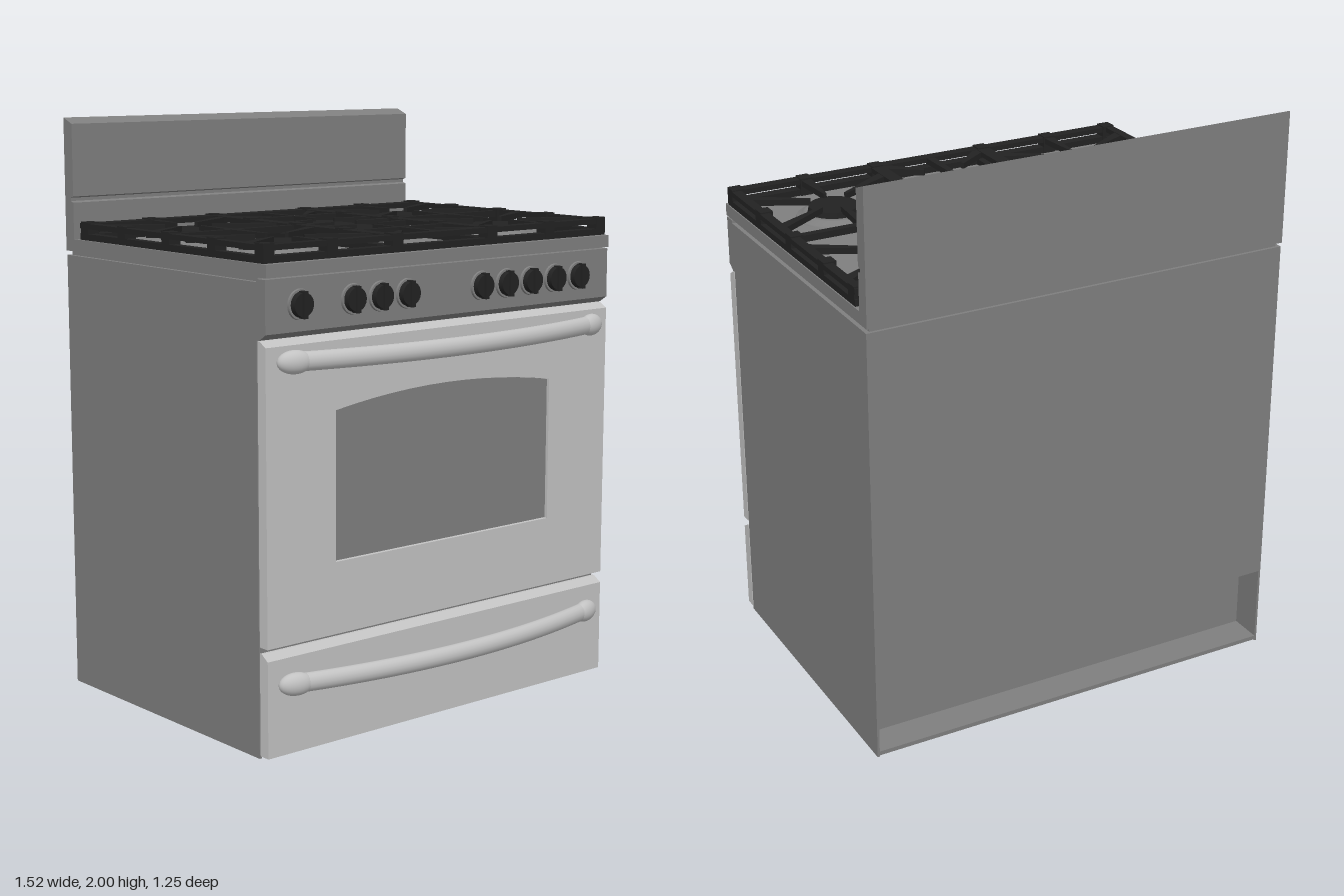
import * as THREE from 'three';

const mat = (name, color) => {
  const m = new THREE.MeshStandardMaterial({ color });
  m.name = name;
  return m;
};

export function createModel() {
  const steel = mat('brushed steel', 0xc2c2c2);
  const grey = mat('grey enamel', 0x7e7e7e);
  const black = mat('cast iron', 0x222222);
  const root = new THREE.Group();
  root.name = 'kitchenRange';

  const add = (name, geo, material, parent = root) => {
    const m = new THREE.Mesh(geo, material);
    m.name = name;
    parent.add(m);
    return m;
  };
  const group = (name) => {
    const g = new THREE.Group();
    g.name = name;
    root.add(g);
    return g;
  };
  // Box given by its limits on each axis
  const block = (name, x0, x1, y0, y1, z0, z1, material, parent) => {
    const geo = new THREE.BoxGeometry(x1 - x0, y1 - y0, z1 - z0);
    geo.translate((x0 + x1) / 2, (y0 + y1) / 2, (z0 + z1) / 2);
    return add(name, geo, material, parent);
  };
  const toShape = (pts) => new THREE.Shape(pts.map(([x, y]) => new THREE.Vector2(x, y)));
  // Side profile of [z, y] points swept across the width
  const sweep = (name, pts, material, w = 1.52) => {
    const geo = new THREE.ExtrudeGeometry(toShape(pts), { depth: w, bevelEnabled: false });
    geo.rotateY(-Math.PI / 2).translate(w / 2, 0, 0);
    return add(name, geo, material);
  };
  // Plan outline of [x, z] points raised from y0 to y1
  const raise = (name, pts, y0, y1, material, parent) => {
    const shape = toShape(pts.map(([x, z]) => [x, -z]));
    const geo = new THREE.ExtrudeGeometry(shape, { depth: y1 - y0, bevelEnabled: false });
    geo.rotateX(-Math.PI / 2).translate(0, y0, 0);
    return add(name, geo, material, parent);
  };

  // Cabinet with an open recess low on the back
  sweep('cabinet', [[0.45, 0.005], [0.45, 1.53], [-0.62, 1.53], [-0.62, 0.29], [-0.505, 0.29],
    [-0.505, 0.02], [-0.62, 0.02], [-0.62, 0.005]], grey, 1.508);
  for (const s of [-1, 1]) {
    block('recessSide', s * 0.756 - 0.004, s * 0.756 + 0.004, 0, 1.53, -0.62, 0.45, grey);
  }
  block('topGap', -0.745, 0.745, 1.525, 1.55, -0.61, 0.44, grey);

  // Cooktop and splash guard
  block('cooktop', -0.76, 0.76, 1.545, 1.587, -0.6, 0.5, grey);
  sweep('splashGuard', [[-0.575, 1.545], [-0.575, 1.712], [-0.59, 1.717], [-0.59, 1.728],
    [-0.575, 1.733], [-0.575, 1.98], [-0.625, 2], [-0.625, 1.545]], grey);

  // Control panel with knobs
  sweep('controlPanel', [[0.45, 1.35], [0.465, 1.35], [0.495, 1.37], [0.495, 1.54], [0.45, 1.54]], grey);
  const knobs = group('knobs');
  for (const x of [-0.625, -0.41, -0.295, -0.18, 0.15, 0.265, 0.38, 0.495, 0.61]) {
    const rim = add('knobRim', new THREE.CylinderGeometry(0.048, 0.05, 0.008, 32), grey, knobs);
    const dial = add('knobDial', new THREE.CylinderGeometry(0.038, 0.042, 0.022, 32), black, knobs);
    for (const [m, z] of [[rim, 0.498], [dial, 0.508]]) {
      m.rotation.x = Math.PI / 2;
      m.position.set(x, 1.455, z);
    }
    block('knobGrip', x - 0.008, x + 0.008, 1.412, 1.498, 0.5, 0.528, black, knobs);
  }

  // Oven door with an arched window
  const arch = (w, y0, ySide, yTop) => {
    const pts = [[-w, y0], [w, y0]];
    for (let i = 0; i <= 12; i++) {
      const t = 1 - i / 6;
      pts.push([w * t, yTop - (yTop - ySide) * t * t]);
    }
    return pts;
  };
  const door = toShape([[-0.76, 0.37], [0.76, 0.37], [0.76, 1.33], [-0.76, 1.33]]);
  door.holes.push(toShape(arch(0.48, 0.61, 1.105, 1.145)));
  add('ovenDoor', new THREE.ExtrudeGeometry(door, { depth: 0.04, bevelEnabled: false })
    .translate(0, 0, 0.455), steel);
  sweep('doorTopEdge', [[0.455, 1.33], [0.495, 1.33], [0.465, 1.348], [0.455, 1.348]], steel);
  add('ovenWindow', new THREE.ExtrudeGeometry(toShape(arch(0.478, 0.612, 1.103, 1.143)),
    { depth: 0.008, bevelEnabled: false }).translate(0, 0, 0.478), grey);

  // Storage drawer
  sweep('drawer', [[0.455, 0.01], [0.495, 0.01], [0.495, 0.33], [0.465, 0.35], [0.455, 0.35]], steel);

  // Bowed handles
  for (const [name, y] of [['doorHandle', 1.28], ['drawerHandle', 0.245]]) {
    const g = group(name);
    const pts = [];
    for (let i = -6; i <= 6; i++) pts.push(new THREE.Vector3(i * 0.115, 0, 0.597 - 0.093 * (i / 6) ** 2));
    const bar = new THREE.TubeGeometry(new THREE.CatmullRomCurve3(pts), 48, 0.026, 16);
    add('bar', bar.scale(1, 1.2, 1).translate(0, y, 0), steel, g);
    for (const s of [-1, 1]) {
      const end = add('end', new THREE.SphereGeometry(1, 24, 16), steel, g);
      end.scale.set(0.06, 0.038, 0.03);
      end.position.set(s * 0.662, y, 0.515);
      end.rotation.y = s * 0.25;
    }
  }

  // Round burners
  const burners = group('burners');
  const ring = [[0, 0.012], [0.085, 0.012], [0.095, 0.022], [0.105, 0.018], [0.11, 0.008], [0.125, 0.006], [0.128, 0]]
    .reverse().map(([r, y]) => new THREE.Vector2(r, y));
  for (const x of [-0.483, 0.483]) {
    for (const z of [-0.29, 0.215]) {
      add('burnerRing', new THREE.LatheGeometry(ring, 36), grey, burners).position.set(x, 1.587, z);
      add('burnerCap', new THREE.CylinderGeometry(0.084, 0.09, 0.028, 32), black, burners)
        .position.set(x, 1.612, z);
    }
  }
  // Oval centre burner
  const oval = (r, z0, z1) => {
    const pts = [];
    for (let i = 0; i <= 12; i++) pts.push([r * Math.cos(i * Math.PI / 12), z1 - r + r * Math.sin(i * Math.PI / 12)]);
    for (let i = 0; i <= 12; i++) pts.push([-r * Math.cos(i * Math.PI / 12), z0 + r - r * Math.sin(i * Math.PI / 12)]);
    return pts;
  };
  raise('ovalRing', oval(0.09, -0.29, 0.205), 1.587, 1.597, grey, burners);
  raise('ovalCap', oval(0.071, -0.265, 0.18), 1.597, 1.63, black, burners);

  // Grates: rails with a slot between an upper and a lower bar
  const grates = group('grates');
  const rail = (x0, x1, z0, z1) => {
    block('upperBar', x0, x1, 1.627, 1.645, z0, z1, black, grates);
    block('lowerBar', x0, x1, 1.588, 1.61, z0, z1, black, grates);
  };
  rail(-0.757, 0.757, -0.54, -0.485);
  rail(-0.757, 0.757, 0.445, 0.483);
  for (const s of [-1, 1]) {
    const [a, b] = s < 0 ? [-0.757, -0.725] : [0.725, 0.757];
    rail(a, b, -0.54, 0.483);
    rail(s * 0.21 - 0.024, s * 0.21 + 0.024, -0.54, 0.483);
    for (const x of [s * 0.735, s * 0.21, s * 0.483]) {
      for (const z of [-0.512, -0.29, -0.035, 0.215, 0.462]) {
        if (x === s * 0.483 && Math.abs(z) < 0.4) continue;
        block('post', x - 0.022, x + 0.022, 1.588, 1.65, z - 0.022, z + 0.022, black, grates);
      }
    }
    block('middleBar', s < 0 ? -0.74 : 0.21, s < 0 ? -0.21 : 0.74, 1.62, 1.643, -0.048, -0.022, black, grates);
  }
  for (const z of [-0.32, 0.25]) block('centreBar', -0.2, 0.2, 1.62, 1.643, z - 0.013, z + 0.013, black, grates);

  // Tapered fingers reaching over the burners
  const finger = (x0, z0, x1, z1, w0 = 0.038, w1 = 0.012) => {
    const l = Math.hypot(x1 - x0, z1 - z0);
    const nx = -(z1 - z0) / l / 2, nz = (x1 - x0) / l / 2;
    raise('finger', [[x0 + nx * w0, z0 + nz * w0], [x1 + nx * w1, z1 + nz * w1],
      [x1 - nx * w1, z1 - nz * w1], [x0 - nx * w0, z0 - nz * w0]], 1.622, 1.643, black, grates);
  };
  for (const s of [-1, 1]) {
    for (const [zb, zBack, zFront] of [[-0.29, -0.5, -0.035], [0.215, -0.035, 0.455]]) {
      const x = s * 0.483;
      finger(x, zBack, x, zb - 0.07);
      finger(x, zFront, x, zb + 0.07);
      for (const side of [-1, 1]) {
        const edge = x + side * 0.26;
        finger(edge, zb - 0.155, x + side * 0.065, zb - 0.045);
        finger(edge, zb + 0.155, x + side * 0.065, zb + 0.045);
      }
    }
    finger(s * 0.2, -0.035, s * 0.05, -0.035);
    finger(s * 0.2, -0.13, s * 0.05, -0.155, 0.03);
    finger(s * 0.2, 0.06, s * 0.05, 0.085, 0.03);
    finger(s * 0.19, -0.45, s * 0.075, -0.35);
    finger(s * 0.19, 0.44, s * 0.075, 0.345);
  }
  finger(0, -0.5, 0, -0.2, 0.03);
  finger(0, 0.455, 0, 0.12, 0.03);

  return root;
}
